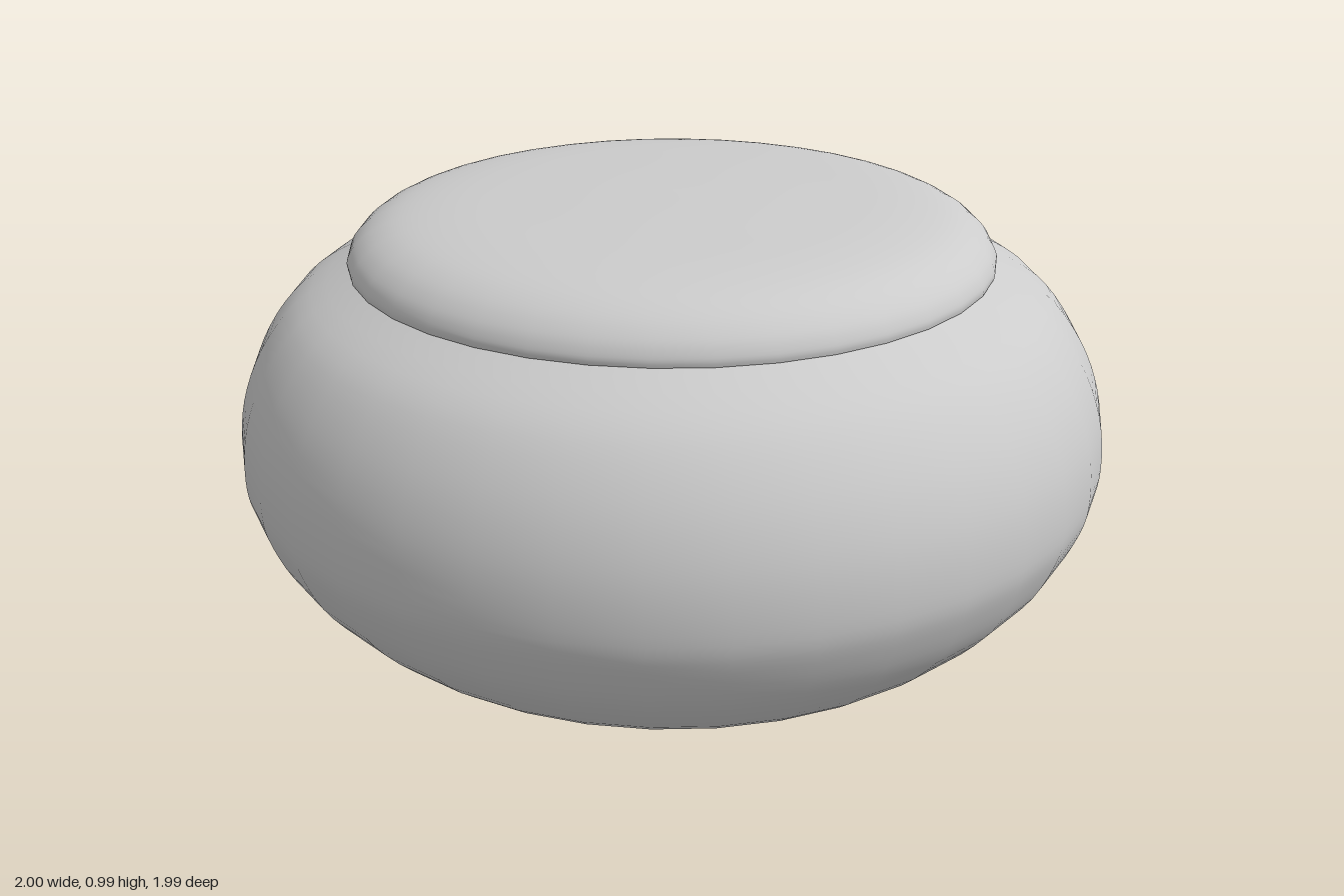
import * as THREE from 'three';

const SIDES = 38;

// Smooth surface of revolution through [radius, height] points, listed bottom to top
function turned(name, points, steps, material) {
  const curve = new THREE.SplineCurve(points.map(([r, y]) => new THREE.Vector2(r, y)));
  const profile = curve.getPoints(steps);
  profile.forEach((p) => { p.x = Math.max(p.x, 0); p.y = Math.max(p.y, 0); });
  const mesh = new THREE.Mesh(new THREE.LatheGeometry(profile, SIDES, Math.PI / 2), material);
  mesh.name = name;
  return mesh;
}

function disc(name, radius, y, up, material) {
  const geometry = new THREE.CircleGeometry(radius, SIDES);
  geometry.rotateX(up ? -Math.PI / 2 : Math.PI / 2);
  const mesh = new THREE.Mesh(geometry, material);
  mesh.name = name;
  mesh.position.y = y;
  return mesh;
}

export function createModel() {
  const group = new THREE.Group();
  group.name = 'roundLiddedPot';
  const grey = new THREE.MeshStandardMaterial({ color: 0xcccccc });

  // Squat bulging body with a flat base
  group.add(turned('body', [
    [0, 0], [0.3, 0], [0.56, 0.003], [0.65, 0.016], [0.8, 0.09], [0.925, 0.22],
    [0.985, 0.34], [1, 0.43], [0.985, 0.55], [0.935, 0.67], [0.85, 0.775], [0.725, 0.848],
  ], 44, grey));
  group.add(disc('bodyTop', 0.725, 0.848, true, grey));

  // Low domed lid with a rounded rim
  group.add(turned('lid', [
    [0.732, 0.848], [0.732, 0.866], [0.715, 0.897], [0.675, 0.93], [0.61, 0.955],
    [0.5, 0.971], [0.35, 0.979], [0.18, 0.985], [0, 0.987],
  ], 32, grey));
  group.add(disc('lidUnderside', 0.732, 0.847, false, grey));

  return group;
}
